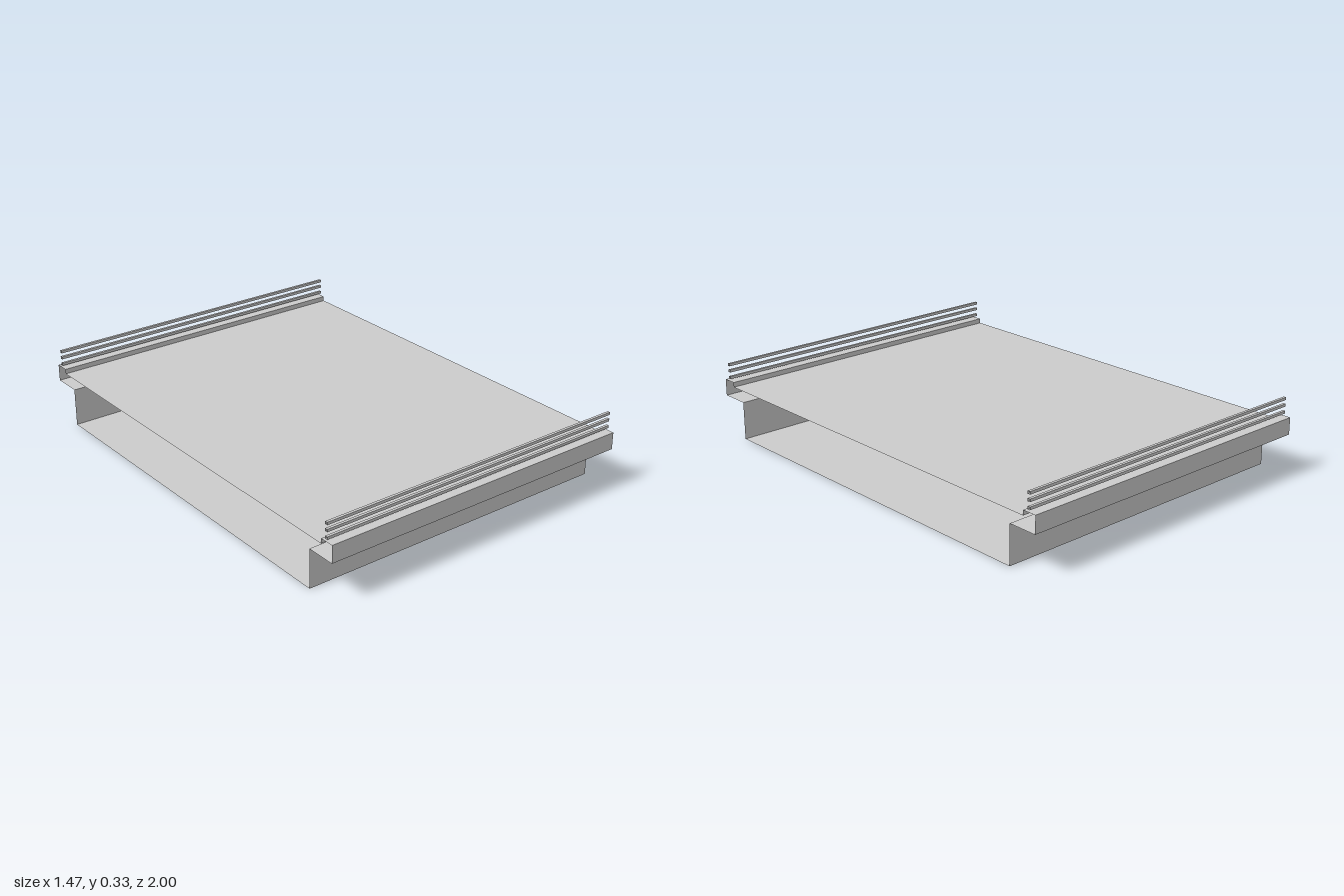
import * as THREE from 'three';

const HALF_WIDTH = 0.733;
const material = new THREE.MeshStandardMaterial({
  color: 0xcccccc, flatShading: true, side: THREE.DoubleSide,
});

// Sweeps a closed [z, y] outline along x, leaving both ends open.
function openSweep(name, outline) {
  const positions = [];
  outline.forEach(([z0, y0], i) => {
    const [z1, y1] = outline[(i + 1) % outline.length];
    const a = [-HALF_WIDTH, y0, z0], b = [HALF_WIDTH, y0, z0];
    const c = [HALF_WIDTH, y1, z1], d = [-HALF_WIDTH, y1, z1];
    positions.push(...a, ...b, ...c, ...a, ...c, ...d);
  });
  const geometry = new THREE.BufferGeometry();
  geometry.setAttribute('position', new THREE.Float32BufferAttribute(positions, 3));
  geometry.computeVertexNormals();
  const mesh = new THREE.Mesh(geometry, material);
  mesh.name = name;
  return mesh;
}

export function createModel() {
  const model = new THREE.Group();
  model.name = 'bridgeDeck';

  // Hollow girder with overhanging edges and raised kerbs
  const frontHalf = [
    [0.867, 0], [0.867, 0.172], [1, 0.172], [1, 0.248], [0.937, 0.248], [0.937, 0.226],
  ];
  const backHalf = frontHalf.map(([z, y]) => [-z, y]).reverse();
  model.add(openSweep('deckShell', [...frontHalf, ...backHalf]));

  // Three square railing bars above each kerb
  const r = 0.006;
  for (const side of [1, -1]) {
    const railing = new THREE.Group();
    railing.name = side > 0 ? 'frontRailing' : 'backRailing';
    for (const y of [0.264, 0.295, 0.324]) {
      const z = side * 0.966;
      railing.add(openSweep('railBar', [
        [z + r, y - r], [z + r, y + r], [z - r, y + r], [z - r, y - r],
      ]));
    }
    model.add(railing);
  }
  return model;
}
